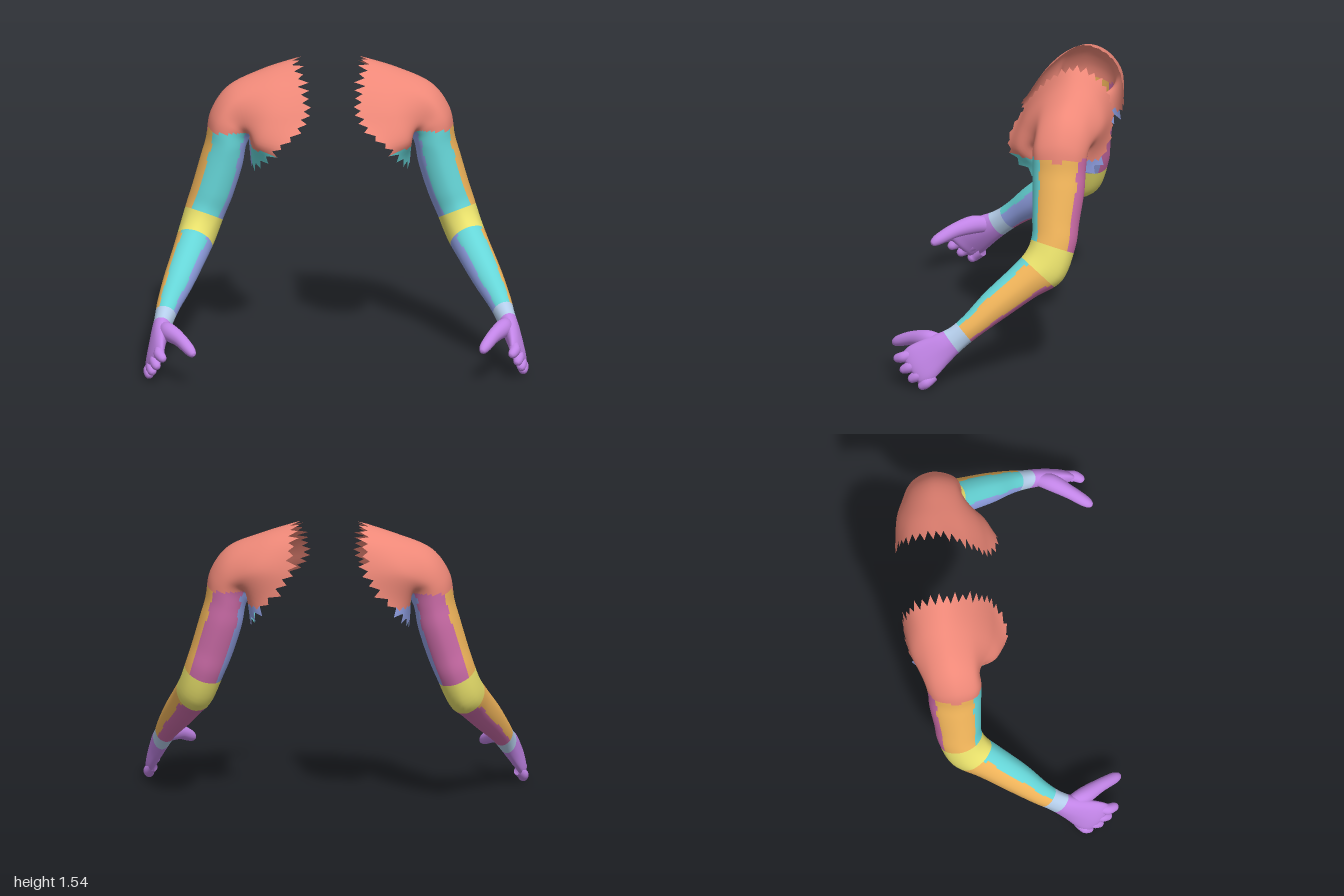
import * as THREE from 'three';

const V = (x, y, z) => new THREE.Vector3(x, y, z);
const COLORS = {
  shoulder: 0xee8878, front: 0x66d6d8, outer: 0xf0b45a, inner: 0x92a2e6,
  back: 0xcc6ca8, elbow: 0xeae26c, wrist: 0xb4cdea, hand: 0xc184e6,
};
const COLS = 64, STEPS = 6;

// small repeatable noise in 0..1
const noise = (n) => { const s = Math.sin(n * 12.9898 + 4.1) * 43758.5453; return s - Math.floor(s); };

// turns [x, y, z, sideRadius, frontRadius, roll] rows into 8-point rings square to the path
function ellipseRings(rows) {
  const c = rows.map((r) => V(r[0], r[1], r[2]));
  return rows.map(([, , , a, b, roll = 0], i) => {
    const T = c[Math.min(i + 1, c.length - 1)].clone().sub(c[Math.max(i - 1, 0)]).normalize();
    const ref = Math.abs(T.x) > 0.9 ? V(0, 1, 0) : V(1, 0, 0);
    const u0 = ref.addScaledVector(T, -ref.dot(T)).normalize();
    const v0 = T.clone().cross(u0);
    const u = u0.clone().multiplyScalar(Math.cos(roll)).addScaledVector(v0, Math.sin(roll));
    const v = v0.clone().multiplyScalar(Math.cos(roll)).addScaledVector(u0, -Math.sin(roll));
    return Array.from({ length: 8 }, (_, k) => c[i].clone()
      .addScaledVector(u, a * Math.cos(k * Math.PI / 4))
      .addScaledVector(v, b * Math.sin(k * Math.PI / 4)));
  });
}

// smooth skin through the rings; classify() sorts its cells into coloured parts
function loft(rings, classify, cols = COLS, ragged = false) {
  const rows = (rings.length - 1) * STEPS;
  const along = rings[0].map((_, k) => new THREE.CatmullRomCurve3(rings.map((r) => r[k]), false, 'catmullrom'));
  const pts = [];
  for (let i = 0; i <= rows; i++) {
    const ring = new THREE.CatmullRomCurve3(along.map((c) => c.getPoint(i / rows)), true, 'catmullrom');
    for (let j = 0; j < cols; j++) pts.push(ring.getPoint(j / cols));
  }
  const cells = {}, all = [];
  for (let i = 0; i < rows; i++) for (let j = 0; j < cols; j++) {
    const p = i * cols + j, q = i * cols + (j + 1) % cols;
    const tri = [p, q, p + cols, q, q + cols, p + cols];
    const mid = pts[p].clone().add(pts[q + cols]).multiplyScalar(0.5);
    (cells[classify(i / STEPS, (j + 0.5) / cols, mid, i)] ??= []).push(...tri);
    all.push(...tri);
  }
  const skin = new THREE.BufferGeometry().setFromPoints(pts);
  skin.setIndex(all);
  skin.computeVertexNormals();
  // torn zigzag along the first ring
  if (ragged) for (let j = 0; j < cols; j++) {
    const d = pts[j].clone().sub(pts[j + cols]).normalize();
    const reach = (j % 2 ? 0.005 + 0.03 * noise(j) : -0.015 - 0.02 * noise(j));
    const p = pts[j].clone().addScaledVector(d, reach);
    skin.attributes.position.setXYZ(j, p.x, p.y, p.z);
  }
  return Object.entries(cells).map(([name, index]) => {
    const g = new THREE.BufferGeometry();
    g.setAttribute('position', skin.attributes.position);
    g.setAttribute('normal', skin.attributes.normal);
    g.setIndex(index);
    return [name, g.toNonIndexed()];
  });
}

// shoulder rings from the torn edge outwards: top, front, armpit, back
const SHOULDER = [
  [[.18, 1.535, -.33], [.15, 1.43, -.17], [.135, 1.28, -.06], [.30, 1.12, -.01],
    [.41, .98, -.25], [.38, 1.07, -.48], [.21, 1.27, -.545], [.19, 1.46, -.49]],
  [[.35, 1.48, -.34], [.34, 1.42, -.20], [.34, 1.28, -.09], [.40, 1.14, -.08],
    [.42, 1.07, -.27], [.42, 1.13, -.44], [.38, 1.29, -.52], [.35, 1.43, -.46]],
  [[.53, 1.40, -.32], [.51, 1.35, -.20], [.48, 1.25, -.165], [.435, 1.18, -.17],
    [.42, 1.14, -.29], [.44, 1.18, -.42], [.49, 1.25, -.475], [.52, 1.35, -.43]],
  [[.625, 1.27, -.31], [.60, 1.24, -.20], [.535, 1.20, -.165], [.46, 1.15, -.20],
    [.425, 1.12, -.30], [.455, 1.15, -.41], [.535, 1.20, -.455], [.60, 1.24, -.41]],
].map((ring) => ring.map((p) => V(...p)));

// upper arm, elbow, forearm, wrist and palm
const ARM = [
  [.547, 1.10, -.305, .107, .140], [.57, 1.0, -.305, .112, .136],
  [.615, .85, -.297, .110, .124], [.655, .74, -.290, .105, .118],
  [.70, .62, -.245, .100, .122], [.745, .54, -.14, .092, .100],
  [.81, .43, .0, .080, .085], [.865, .335, .11, .062, .067],
  [.895, .27, .19, .050, .066], [.92, .215, .27, .046, .083, .15],
  [.945, .145, .365, .038, .108, .3], [.95, .11, .41, .030, .100, .35],
  [.95, .098, .425, .006, .08, .35],
];

function classifyArm(t, around, p, row) {
  const wobble = (noise(Math.floor(row / 3)) - 0.5) * 0.035;
  const sector = ['outer', 'front', 'inner', 'back'][Math.round((around + wobble) * 4 + 4) % 4];
  if (t < 2) return p.y > 1.11 ? 'shoulder' : p.z > -.25 ? 'front' : 'inner';
  if (p.y > 1.18) return 'shoulder';
  if (t < 7.1) return sector;
  if (t < 8.3) return 'elbow';
  if (t < 11.4) return sector;
  return t < 12.3 ? 'wrist' : 'hand';
}

const NAMES = {
  shoulder: 'shoulder', front: 'frontArm', outer: 'outerArm', inner: 'innerArm',
  back: 'backArm', elbow: 'elbow', wrist: 'wrist', hand: 'palm',
};

function buildArm(name) {
  const arm = new THREE.Group();
  arm.name = name;
  const add = (part, geometry, color) => {
    const mesh = new THREE.Mesh(geometry, new THREE.MeshStandardMaterial({ color, side: THREE.DoubleSide }));
    mesh.name = part;
    arm.add(mesh);
  };
  for (const [part, g] of loft([...SHOULDER, ...ellipseRings(ARM)], classifyArm, COLS, true)) {
    add(NAMES[part], g, COLORS[part]);
  }

  // thumb
  const thumb = ellipseRings([
    [.905, .245, .26, .03, .04], [.875, .25, .34, .045, .048], [.82, .232, .43, .036, .038],
    [.775, .198, .505, .030, .030], [.757, .18, .535, .018, .018], [.752, .175, .543, .001, .001],
  ]);
  add('thumb', loft(thumb, () => 'hand', 24)[0][1], COLORS.hand);

  // four short curled fingers
  for (let i = 0; i < 4; i++) {
    const k = i / 3, bulge = Math.sin(k * Math.PI) * 0.012;
    const base = V(.925, .185, .41).lerp(V(.955, .075, .30), k);
    const tip = V(.905, .145, .515).lerp(V(.972, .015, .375), k).add(V(bulge, -bulge, bulge));
    const at = (s, r) => [...base.clone().lerp(tip, s).add(V(0.015 * Math.sin(s * Math.PI), 0, 0)).toArray(), r, r];
    const finger = ellipseRings([at(0, .026), at(.5, .029), at(.82, .024), at(.96, .014), at(1, .001)]);
    add('finger' + (i + 1), loft(finger, () => 'hand', 24)[0][1], COLORS.hand);
  }
  return arm;
}

export function createModel() {
  const model = new THREE.Group();
  model.name = 'armPair';
  const left = buildArm('leftArm');
  const right = buildArm('rightArm');
  right.scale.x = -1;
  model.add(left, right);
  return model;
}
